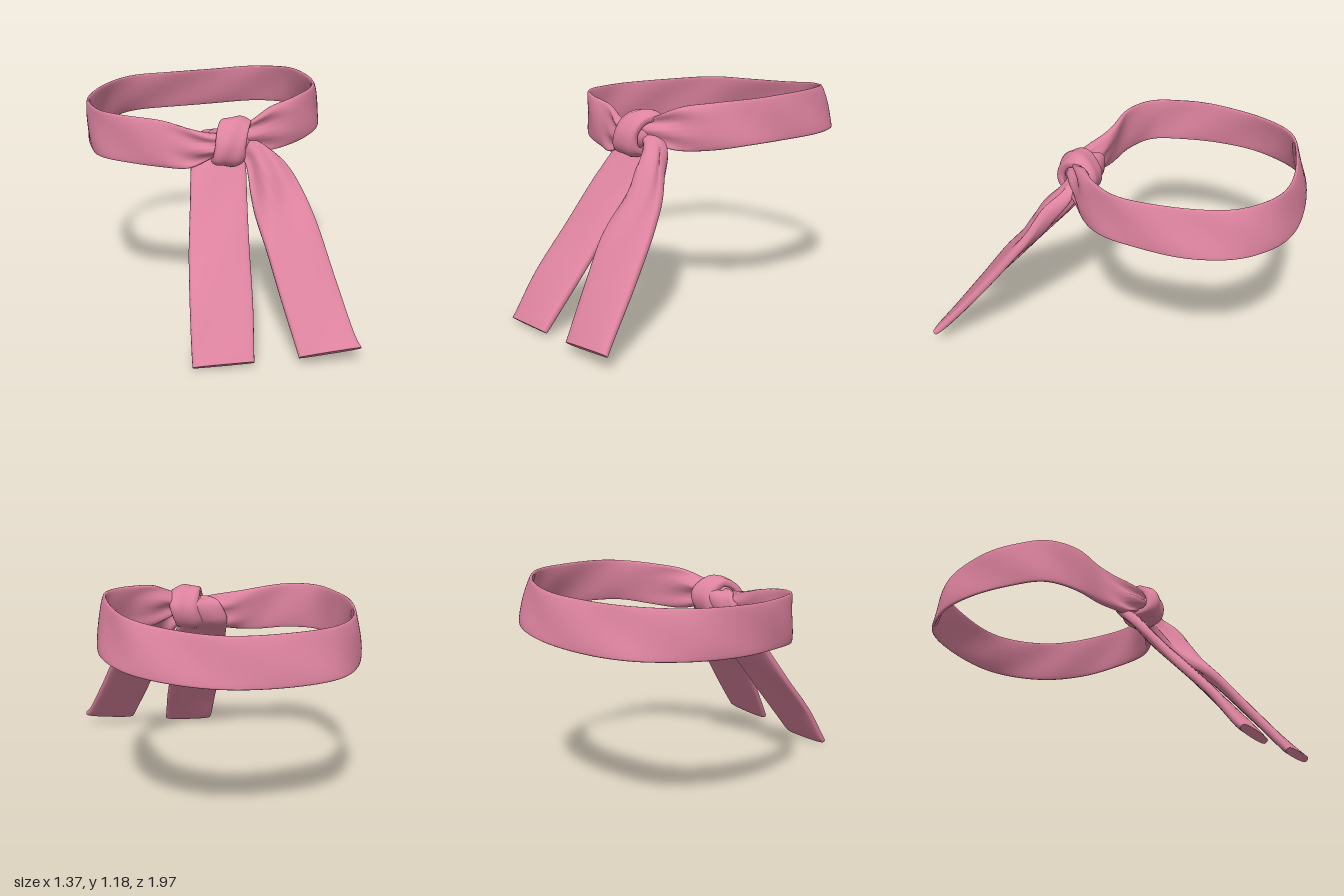
import * as THREE from 'three';

const pink = new THREE.MeshStandardMaterial({ color: 0xdd839f });
pink.name = 'pink cloth';

// Lofts a soft strip of cloth. Each station is [edge A, edge B, half thickness].
// ripple(u, s) pushes the cloth along its normal (u along, s across from -1 to 1).
function clothStrip(name, stations, { steps = 80, closed = false, ripple = () => 0 } = {}) {
  const around = 32;
  const curve = k => new THREE.CatmullRomCurve3(stations.map(s => new THREE.Vector3(...s[k])), closed);
  const edgeA = curve(0), edgeB = curve(1);
  const count = stations.length, spans = closed ? count : count - 1;
  const rings = closed ? steps : steps + 1;
  const midAt = u => edgeA.getPoint(u).add(edgeB.getPoint(u)).multiplyScalar(0.5);
  const pos = [], idx = [];
  const softPow = (v, p) => Math.sign(v) * Math.abs(v) ** p;

  for (let i = 0; i < rings; i++) {
    const u = i / steps, f = u * spans, k = Math.min(Math.floor(f), spans - 1);
    const half = THREE.MathUtils.lerp(stations[k][2], stations[(k + 1) % count][2], f - k);
    const mid = midAt(u);
    const wide = edgeA.getPoint(u).sub(mid);
    const wrap = v => closed ? (v + 1) % 1 : THREE.MathUtils.clamp(v, 0, 1);
    const along = midAt(wrap(u + 0.004)).sub(midAt(wrap(u - 0.004)));
    const normal = along.cross(wide).normalize();
    for (let j = 0; j < around; j++) {
      const a = j / around * Math.PI * 2;
      const s = softPow(Math.cos(a), 0.8);
      const out = softPow(Math.sin(a), 0.5) * half + ripple(u, s);
      const p = mid.clone().addScaledVector(wide, s).addScaledVector(normal, out);
      pos.push(p.x, p.y, p.z);
    }
  }
  for (let i = 0; i < steps; i++) for (let j = 0; j < around; j++) {
    const n = (j + 1) % around, r = i * around, q = ((i + 1) % rings) * around;
    idx.push(r + j, r + n, q + j, r + n, q + n, q + j);
  }
  // Flat end caps with their own vertices
  if (!closed) for (const end of [0, steps]) {
    const base = pos.length / 3, c = new THREE.Vector3();
    for (let j = 0; j < around; j++) {
      const p = new THREE.Vector3().fromArray(pos, (end * around + j) * 3);
      c.addScaledVector(p, 1 / around);
      pos.push(p.x, p.y, p.z);
    }
    pos.push(c.x, c.y, c.z);
    for (let j = 0; j < around; j++) {
      const n = (j + 1) % around;
      idx.push(base + around, base + (end ? j : n), base + (end ? n : j));
    }
  }
  const geo = new THREE.BufferGeometry();
  geo.setAttribute('position', new THREE.Float32BufferAttribute(pos, 3));
  geo.setIndex(idx);
  geo.computeVertexNormals();
  const mesh = new THREE.Mesh(geo, pink);
  mesh.name = name;
  return mesh;
}

export function createModel() {
  const sash = new THREE.Group();
  sash.name = 'tiedSash';

  // Waist band: top edge, bottom edge, running from the knot around the back
  const band = [
    [[0.0, 1.04, 0.22], [0.0, 0.95, 0.22], 0.04],
    [[0.1, 1.07, 0.2], [0.1, 0.94, 0.23], 0.04],
    [[0.24, 1.135, 0.14], [0.24, 0.91, 0.18], 0.03],
    [[0.4, 1.165, 0.07], [0.4, 0.92, 0.1], 0.02],
    [[0.54, 1.185, -0.07], [0.56, 0.95, -0.04], 0.013],
    [[0.605, 1.195, -0.25], [0.64, 0.96, -0.22], 0.012],
    [[0.61, 1.195, -0.47], [0.675, 0.96, -0.47], 0.012],
    [[0.56, 1.19, -0.67], [0.625, 0.955, -0.7], 0.012],
    [[0.42, 1.175, -0.82], [0.47, 0.94, -0.86], 0.012],
    [[0.2, 1.15, -0.9], [0.22, 0.915, -0.96], 0.012],
    [[-0.1, 1.14, -0.92], [-0.1, 0.9, -0.985], 0.012],
    [[-0.35, 1.135, -0.87], [-0.37, 0.895, -0.93], 0.012],
    [[-0.54, 1.125, -0.7], [-0.56, 0.885, -0.74], 0.012],
    [[-0.645, 1.12, -0.46], [-0.65, 0.875, -0.49], 0.011],
    [[-0.675, 1.12, -0.25], [-0.675, 0.87, -0.25], 0.011],
    [[-0.64, 1.12, -0.06], [-0.64, 0.865, -0.06], 0.012],
    [[-0.5, 1.11, 0.06], [-0.5, 0.855, 0.07], 0.015],
    [[-0.33, 1.085, 0.11], [-0.33, 0.84, 0.14], 0.025],
    [[-0.2, 1.05, 0.16], [-0.2, 0.845, 0.2], 0.035],
    [[-0.09, 1.03, 0.22], [-0.09, 0.9, 0.23], 0.04],
    [[0.0, 1.02, 0.23], [0.0, 0.93, 0.23], 0.04],
  ];
  sash.add(clothStrip('waistBand', band, {
    steps: 240,
    // folds gather near the knot, with faint waves elsewhere
    ripple: (u, s) => {
      const near = Math.exp(-(((Math.min(u, 1 - u) - 0.07) / 0.05) ** 2));
      return near * 0.016 * Math.sin(s * 6 + u * 30) + 0.004 * Math.sin(u * 55 + s * 2.5);
    },
  }));

  // Knot: a wide loop of cloth wrapped over the band
  const knot = [
    [[0.13, 1.07, 0.2], [-0.04, 1.07, 0.19], 0.026],
    [[0.1, 1.055, 0.26], [-0.075, 1.045, 0.26], 0.026],
    [[0.07, 0.98, 0.305], [-0.09, 0.98, 0.3], 0.026],
    [[0.07, 0.91, 0.295], [-0.1, 0.915, 0.29], 0.026],
    [[0.08, 0.89, 0.23], [-0.095, 0.9, 0.23], 0.026],
    [[0.12, 0.92, 0.16], [-0.06, 0.92, 0.15], 0.026],
    [[0.155, 1.01, 0.14], [-0.01, 1.0, 0.13], 0.026],
  ];
  sash.add(clothStrip('knotWrap', knot, {
    steps: 72, closed: true,
    ripple: (u, s) => 0.012 * (1 - s * s) + 0.004 * Math.sin(s * 5 + u * Math.PI * 4),
  }));

  // Packed cloth inside the knot
  const core = new THREE.Mesh(new THREE.SphereGeometry(1, 32, 20), pink);
  core.name = 'knotCore';
  core.scale.set(0.1, 0.085, 0.085);
  core.position.set(0.02, 0.98, 0.21);
  sash.add(core);

  // Tail on the -x side, rising behind the band before it hangs
  const rightTail = [
    [[0.04, 1.03, 0.2], [-0.1, 1.02, 0.19], 0.02],
    [[0.05, 1.02, 0.14], [-0.14, 1.0, 0.135], 0.025],
    [[0.08, 0.93, 0.16], [-0.18, 0.93, 0.14], 0.03],
    [[0.09, 0.85, 0.23], [-0.2, 0.85, 0.2], 0.03],
    [[0.07, 0.7, 0.34], [-0.235, 0.68, 0.34], 0.03],
    [[0.04, 0.5, 0.51], [-0.275, 0.48, 0.5], 0.028],
    [[0.01, 0.27, 0.7], [-0.31, 0.25, 0.69], 0.028],
    [[-0.025, 0.075, 0.86], [-0.328, 0.06, 0.82], 0.026],
    [[-0.03, 0.045, 0.885], [-0.33, 0.03, 0.845], 0.022],
  ];
  sash.add(clothStrip('rightTail', rightTail, {
    ripple: (u, s) => 0.006 * Math.sin(u * 22 + s * 3) * (1 - u),
  }));

  // Tail on the +x side, spilling out of the knot and twisting downward
  const leftTail = [
    [[0.07, 1.02, 0.22], [0.03, 0.92, 0.22], 0.03],
    [[0.18, 0.965, 0.25], [0.08, 0.87, 0.25], 0.04],
    [[0.275, 0.88, 0.33], [0.08, 0.75, 0.36], 0.038],
    [[0.345, 0.75, 0.41], [0.087, 0.63, 0.47], 0.034],
    [[0.39, 0.61, 0.52], [0.105, 0.5, 0.61], 0.03],
    [[0.435, 0.36, 0.73], [0.14, 0.29, 0.77], 0.028],
    [[0.475, 0.14, 0.93], [0.175, 0.1, 0.91], 0.026],
    [[0.49, 0.105, 0.97], [0.18, 0.07, 0.935], 0.022],
  ];
  sash.add(clothStrip('leftTail', leftTail, {
    // a deep diagonal fold near the knot that fades out below
    ripple: (u, s) => 0.028 * Math.sin(s * 4.5 + u * 7) * Math.exp(-(((u - 0.27) / 0.17) ** 2))
      + 0.004 * Math.sin(u * 20 + s * 3) * (1 - u),
  }));

  return sash;
}
